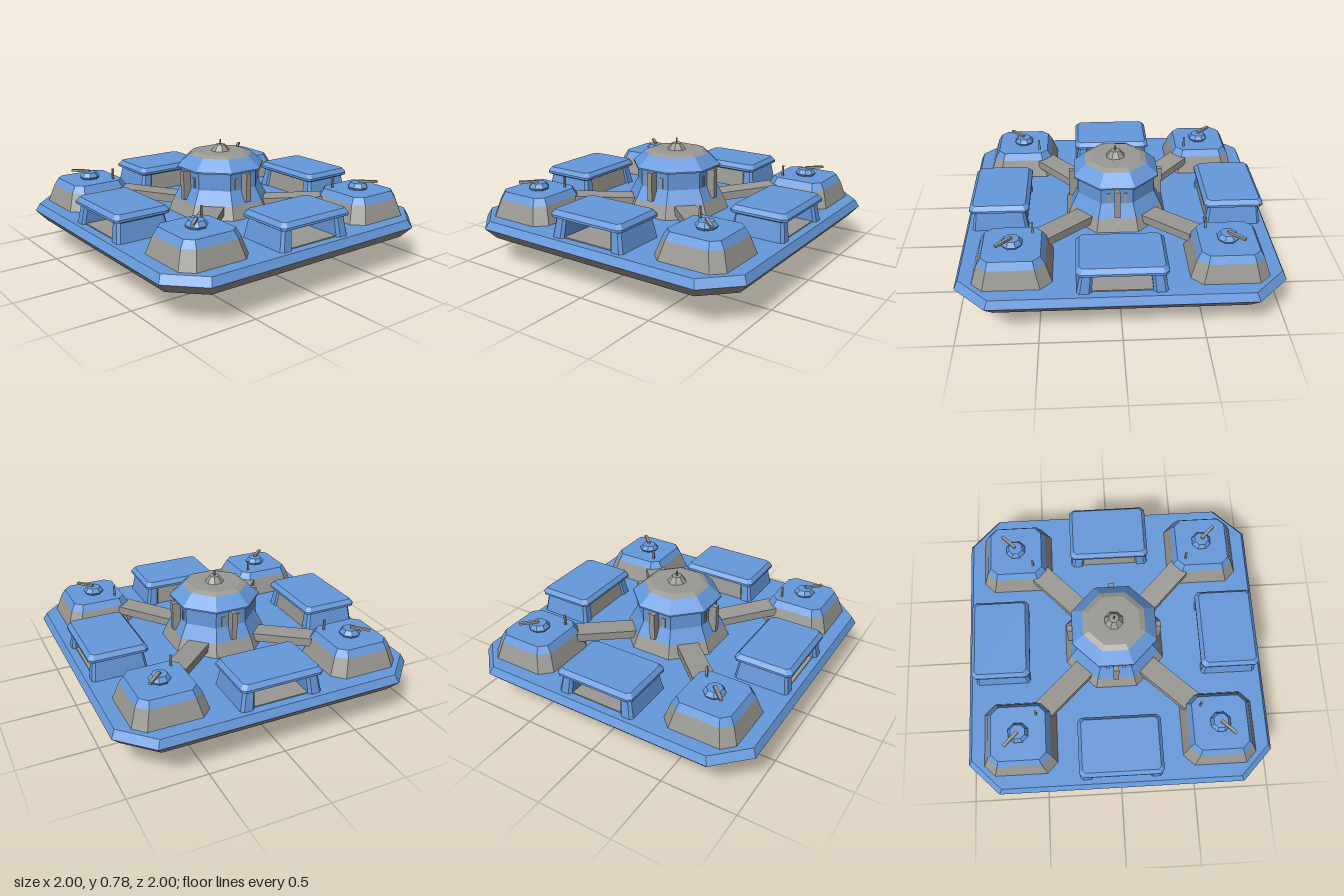
import * as THREE from 'three';

const material = (name, color) => {
  const m = new THREE.MeshStandardMaterial({ color });
  m.name = name;
  return m;
};

// Flat-faced solid through stacked chamfered rectangles: [halfX, halfZ, chamfer, y, shiftX]
function loft(rings) {
  const loops = rings.map(([hx, hz, c, y, dx = 0]) => [
    [hx, hz - c], [hx, c - hz], [hx - c, -hz], [c - hx, -hz],
    [-hx, c - hz], [-hx, hz - c], [c - hx, hz], [hx - c, hz],
  ].map(([x, z]) => [x + dx, y, z]));
  const pos = [];
  const tri = (a, b, c) => pos.push(...a, ...b, ...c);
  for (let k = 0; k < loops.length - 1; k++) {
    const lo = loops[k], hi = loops[k + 1];
    for (let i = 0; i < 8; i++) {
      const j = (i + 1) % 8;
      tri(lo[i], lo[j], hi[j]);
      tri(lo[i], hi[j], hi[i]);
    }
  }
  const first = loops[0], last = loops[loops.length - 1];
  for (let i = 1; i < 7; i++) {
    tri(first[0], first[i + 1], first[i]);
    tri(last[0], last[i], last[i + 1]);
  }
  const g = new THREE.BufferGeometry();
  g.setAttribute('position', new THREE.Float32BufferAttribute(pos, 3));
  g.computeVertexNormals();
  return g;
}

// Regular octagonal solid from [apothem, y] pairs
const octagon = (profile) => loft(profile.map(([a, y]) => [a, a, a * 0.5858, y]));

export function createModel() {
  const blue = material('blue panels', 0x6699dc);
  const grey = material('grey metal', 0x9b9994);
  const model = new THREE.Group();
  model.name = 'station';

  const add = (parent, name, geometry, mat, x = 0, y = 0, z = 0) => {
    const mesh = new THREE.Mesh(geometry, mat);
    mesh.name = name;
    mesh.position.set(x, y, z);
    parent.add(mesh);
    return mesh;
  };
  const box = (w, h, d) => new THREE.BoxGeometry(w, h, d);

  // Platform
  add(model, 'platformUnderside', loft([[0.94, 0.94, 0.18, 0.195], [1, 1, 0.2, 0.265]]), grey);
  add(model, 'platformDeck', loft([[1, 1, 0.2, 0.265], [0.975, 0.975, 0.195, 0.315]]), blue);

  // Lower hub
  add(model, 'lowerCone', octagon([[0.147, 0], [0.223, 0.165]]), grey);
  add(model, 'lowerCollar', octagon([[0.235, 0.165], [0.255, 0.18], [0.255, 0.2]]), blue);

  // Central tower
  add(model, 'towerBase', octagon([[0.33, 0.313], [0.295, 0.4]]), grey);
  add(model, 'towerSkirt', octagon([[0.295, 0.4], [0.25, 0.49]]), blue);
  add(model, 'towerDrum', octagon([[0.25, 0.49], [0.25, 0.605]]), blue);
  add(model, 'towerRoof', octagon([[0.275, 0.605], [0.275, 0.615], [0.2, 0.688]]), blue);
  add(model, 'towerCap', octagon([[0.2, 0.688], [0.165, 0.704]]), grey);
  add(model, 'spire', octagon([[0.06, 0.702], [0.03, 0.745]]), grey);
  add(model, 'spireRod', new THREE.CylinderGeometry(0.006, 0.006, 0.04, 6), grey, 0, 0.757, 0);

  // Everything else repeats every quarter turn
  for (let k = 0; k < 4; k++) {
    const quarter = new THREE.Group();
    quarter.name = 'quarter' + (k + 1);
    quarter.rotation.y = k * Math.PI / 2;
    model.add(quarter);

    // Tower column and window strips
    add(quarter, 'towerColumn', box(0.036, 0.19, 0.055), grey, 0, 0.51, 0.282);
    for (const s of [-1, 1]) {
      add(quarter, 'towerWindow', box(0.022, 0.07, 0.008), grey, s * 0.055, 0.53, 0.252);
    }

    // Hangar open to the outside
    const hangar = new THREE.Group();
    hangar.name = 'hangar';
    hangar.position.z = 0.762;
    quarter.add(hangar);
    for (const s of [-1, 1]) {
      add(hangar, 'hangarWall', loft([
        [0.045, 0.183, 0.018, 0.313, s * 0.225],
        [0.0375, 0.162, 0.015, 0.445, s * 0.2075],
      ]), blue);
    }
    add(hangar, 'hangarRoof', loft([
      [0.248, 0.168, 0.02, 0.435], [0.27, 0.193, 0.025, 0.447],
      [0.27, 0.193, 0.025, 0.462], [0.248, 0.17, 0.02, 0.49],
    ]), blue);
    add(hangar, 'hangarFloor', box(0.37, 0.008, 0.32), grey, 0, 0.318, 0);
    const panel = add(hangar, 'hangarInnerPanel', box(0.37, 0.125, 0.012), grey, 0, 0.376, -0.155);
    panel.rotation.x = 0.15;

    // Corner bunker
    const bunker = new THREE.Group();
    bunker.name = 'bunker';
    bunker.position.set(0.65, 0, 0.65);
    quarter.add(bunker);
    add(bunker, 'bunkerWall', loft([[0.24, 0.24, 0.07, 0.313], [0.202, 0.202, 0.06, 0.43]]), grey);
    add(bunker, 'bunkerRoof', loft([[0.202, 0.202, 0.06, 0.43], [0.175, 0.175, 0.045, 0.475]]), blue);
    add(bunker, 'turret', octagon([[0.055, 0.473], [0.064, 0.49], [0.045, 0.518]]), blue);
    const barrel = add(bunker, 'turretBarrel', box(0.02, 0.015, 0.125), grey, 0.045, 0.525, 0.045);
    barrel.rotation.y = Math.PI / 4;
    add(bunker, 'antenna', box(0.012, 0.075, 0.012), grey, -0.118, 0.51, -0.118);

    // Sloping walkway from tower to bunker
    const walkway = new THREE.Group();
    walkway.name = 'walkwayMount';
    walkway.rotation.y = Math.PI / 4;
    quarter.add(walkway);
    const arm = add(walkway, 'walkway', box(0.14, 0.055, 0.44), grey, 0, 0.383, 0.47);
    arm.rotation.x = -0.08;
  }
  return model;
}
